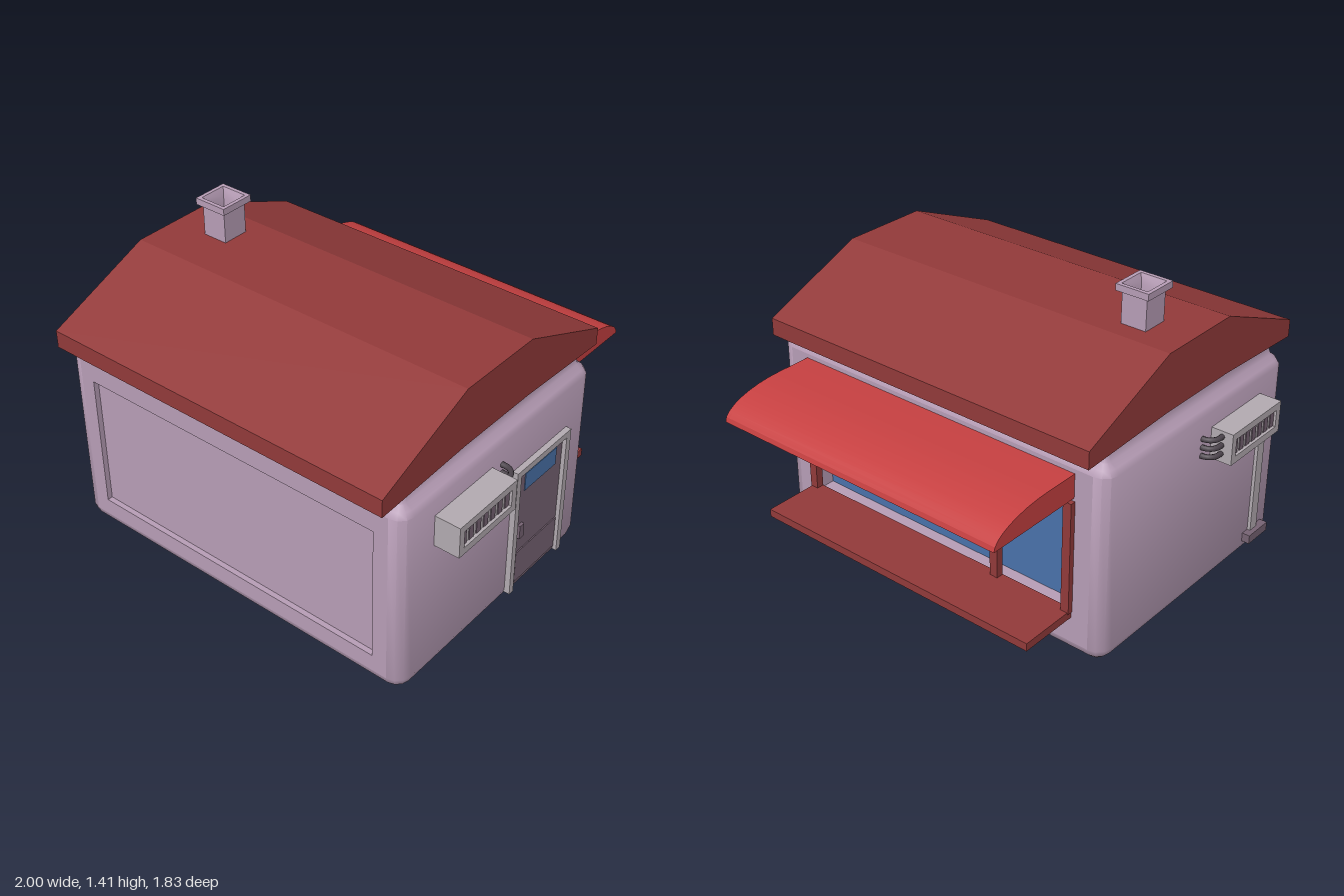
import * as THREE from 'three';
import { toCreasedNormals } from 'three/addons/utils/BufferGeometryUtils.js';

const mat = (name, color) => {
  const m = new THREE.MeshStandardMaterial({ color });
  m.name = name;
  return m;
};

// Closed surface through rings of points, with flat caps; skip(j, i) leaves a quad open
function loft(rings, skip = () => false) {
  const pos = [];
  const tri = (...pts) => pts.forEach((p) => pos.push(p.x, p.y, p.z));
  const n = rings[0].length;
  const centre = (r) => r.reduce((s, p) => s.add(p), new THREE.Vector3()).divideScalar(n);
  const first = rings[0], last = rings[rings.length - 1];
  const c0 = centre(first), c1 = centre(last);
  for (let i = 0; i < n; i++) {
    const k = (i + 1) % n;
    tri(c0, first[i], first[k]);
    tri(c1, last[k], last[i]);
    for (let j = 0; j < rings.length - 1; j++) {
      if (skip(j, i)) continue;
      const a = rings[j][i], b = rings[j][k], c = rings[j + 1][k], d = rings[j + 1][i];
      tri(a, d, c);
      tri(a, c, b);
    }
  }
  const g = new THREE.BufferGeometry();
  g.setAttribute('position', new THREE.Float32BufferAttribute(pos, 3));
  return toCreasedNormals(g, 0.7);
}

// Profile of [z, y] points extruded along x
function extrudeX(points, x0, x1) {
  const shape = new THREE.Shape(points.map(([z, y]) => new THREE.Vector2(z, y)));
  return new THREE.ExtrudeGeometry(shape, { depth: x1 - x0, bevelEnabled: false })
    .rotateY(-Math.PI / 2).translate(x1, 0, 0);
}

// Rectangular slab with a rectangular opening, its face on z = 0; rects are [x0, x1, y0, y1]
function frameGeometry(outer, hole, depth) {
  const rect = (Type, [x0, x1, y0, y1]) => new Type([
    new THREE.Vector2(x0, y0), new THREE.Vector2(x1, y0),
    new THREE.Vector2(x1, y1), new THREE.Vector2(x0, y1)]);
  const shape = rect(THREE.Shape, outer);
  shape.holes.push(rect(THREE.Path, hole));
  return new THREE.ExtrudeGeometry(shape, { depth, bevelEnabled: false }).translate(0, 0, -depth);
}

export function createModel() {
  const wall = mat('wall mauve', 0xb79db6);
  const roofRed = mat('roof red', 0x923a3a);
  const awningRed = mat('awning red', 0xc64041);
  const trim = mat('trim grey', 0xb2aab0);
  const doorMat = mat('door mauve', 0x766373);
  const glass = mat('glass blue', 0x4a72aa);
  const dark = mat('pipe dark', 0x4c444c);

  const model = new THREE.Group();
  model.name = 'house';
  const add = (name, geometry, material, parent = model) => {
    const m = new THREE.Mesh(geometry, material);
    m.name = name;
    parent.add(m);
    return m;
  };
  // Box given by its limits
  const box = (name, material, x0, x1, y0, y1, z0, z1, parent) => add(name,
    new THREE.BoxGeometry(Math.abs(x1 - x0), y1 - y0, z1 - z0)
      .translate((x0 + x1) / 2, (y0 + y1) / 2, (z0 + z1) / 2), material, parent);

  // House body: rounded box with open front and back panels
  const CX = -0.01, CZ = 0.195, HX = 0.89, HZ = 0.635, R = 0.07;
  const profile = [[0.06, 0], [0.03, 0.01], [0.01, 0.03], [0, 0.06], [0, 0.88],
    [0.015, 0.905], [0.04, 0.925], [0.05, 0.955], [0.05, 1.0]];
  const signs = [[1, 1], [-1, 1], [-1, -1], [1, -1]];
  const rings = profile.map(([inset, y]) => signs.flatMap(([sx, sz], k) =>
    [0, 1, 2, 3].map((i) => {
      const a = (k + i / 3) * Math.PI / 2;
      return new THREE.Vector3(CX + sx * (HX - R) + Math.cos(a) * (R - inset), y,
        CZ + sz * (HZ - R) + Math.sin(a) * (R - inset));
    })));
  add('body', loft(rings, (j, i) => j === 3 && (i === 3 || i === 11)), wall);

  // Recessed front panel and recessed rear window
  const recess = (name, hole, depth, z, turn, material) => {
    const g = new THREE.Group();
    g.name = name;
    g.position.set(CX, 0, z);
    g.rotation.y = turn;
    model.add(g);
    add(name + 'Wall', frameGeometry([R - HX, HX - R, 0.06, 0.88], hole, depth), wall, g);
    add(name + 'Back', new THREE.PlaneGeometry(hole[1] - hole[0], hole[3] - hole[2])
      .translate(0, (hole[2] + hole[3]) / 2, -depth), material, g);
  };
  recess('frontPanel', [-0.75, 0.75, 0.14, 0.78], 0.025, CZ + HZ, 0, wall);
  recess('rearWindow', [-0.7, 0.7, 0.2, 0.73], 0.08, CZ - HZ, Math.PI, glass);

  // Roof
  add('roof', extrudeX([[0.91, 0.955], [0.91, 1.035], [0.41, 1.24], [-0.01, 1.24],
    [-0.51, 1.035], [-0.51, 0.955], [-0.01, 0.977], [0.41, 0.977]], -0.86, 0.845), roofRed);

  // Hollow chimney with a cap
  const chimney = [[0.06, 1.2], [0.06, 1.385], [0.079, 1.385], [0.079, 1.415],
    [0.062, 1.415], [0.046, 1.38], [0.046, 1.29]];
  add('chimney', loft(chimney.map(([h, y]) => signs.map(([sx, sz]) =>
    new THREE.Vector3(-0.622 + sx * h, y, 0.141 + sz * h * 1.04)))), wall);

  // Curved awning, hollow underneath with closed ends
  const outer = [[-0.43, 0.86]], inner = [[-0.43, 0.845]];
  for (let i = 0; i <= 8; i++) {
    const a = i / 8 * Math.PI / 2;
    outer.push([-0.6 - 0.315 * Math.sin(a), 0.75 + 0.11 * Math.cos(a)]);
    inner.push([-0.6 - 0.295 * Math.sin(a), 0.75 + 0.095 * Math.cos(a)]);
  }
  add('awning', toCreasedNormals(extrudeX([...outer, ...inner.reverse()], -0.745, 0.715), 0.4), awningRed);
  for (const x of [-0.745, 0.695]) {
    add('awningEnd', extrudeX([...outer, [-0.43, 0.75]], x, x + 0.02), awningRed);
  }

  // Window posts, top rail and counter
  for (const x of [-0.73, -0.36, 0.7]) {
    box('windowPost', roofRed, x - 0.02, x + 0.02, 0.21, 0.735, -0.465, -0.43);
  }
  box('windowRail', roofRed, -0.75, 0.72, 0.715, 0.735, -0.465, -0.43);
  box('counter', roofRed, -0.745, 0.715, 0.18, 0.217, -0.72, -0.43);

  // Side door
  const door = new THREE.Group();
  door.name = 'door';
  model.add(door);
  box('doorLeaf', doorMat, 0.87, 0.887, 0.05, 0.66, -0.235, 0.092, door);
  box('doorPost', trim, 0.87, 0.906, 0.045, 0.69, 0.092, 0.12, door);
  box('doorPost', trim, 0.87, 0.906, 0.045, 0.69, -0.265, -0.235, door);
  box('doorLintel', trim, 0.87, 0.906, 0.66, 0.69, -0.235, 0.092, door);
  box('doorWindow', glass, 0.886, 0.89, 0.545, 0.632, -0.19, 0.035, door);
  box('doorKickPanel', doorMat, 0.886, 0.892, 0.07, 0.23, -0.23, 0.068, door);
  box('doorHandle', doorMat, 0.886, 0.9, 0.31, 0.378, 0.035, 0.065, door);

  // Air conditioner on each side, with grille and three bent pipes
  for (const s of [1, -1]) {
    const unit = new THREE.Group();
    unit.name = s > 0 ? 'leftAirConditioner' : 'rightAirConditioner';
    unit.position.x = -0.003;
    model.add(unit);
    box('casing', trim, s * 0.87, s * 0.985, 0.66, 0.805, 0.27, 0.638, unit);
    add('casingFront', frameGeometry([-0.184, 0.184, -0.0725, 0.0725], [-0.154, 0.154, -0.04, 0.04], 0.015)
      .rotateY(s * Math.PI / 2).translate(s, 0.7325, 0.454), trim, unit);
    for (let i = 0; i < 7; i++) {
      const z = 0.315 + i * 0.0465;
      box('grilleSlot', doorMat, s * 0.984, s * 0.989, 0.694, 0.771, z - 0.014, z + 0.014, unit);
    }
    for (const y of [0.7, 0.74, 0.78]) {
      const path = new THREE.CatmullRomCurve3([[0.95, 0.28], [0.946, 0.235], [0.92, 0.207], [0.87, 0.203]]
        .map(([x, z]) => new THREE.Vector3(s * x, y, z)));
      add('coolantPipe', new THREE.TubeGeometry(path, 10, 0.012, 8), dark, unit);
    }
  }

  // Drain pipe and its foot
  box('drainPipe', trim, -0.915, -0.89, 0.1, 0.74, 0.64, 0.69);
  box('drainFoot', doorMat, -0.937, -0.89, 0.07, 0.112, 0.6, 0.745);

  return model;
}
